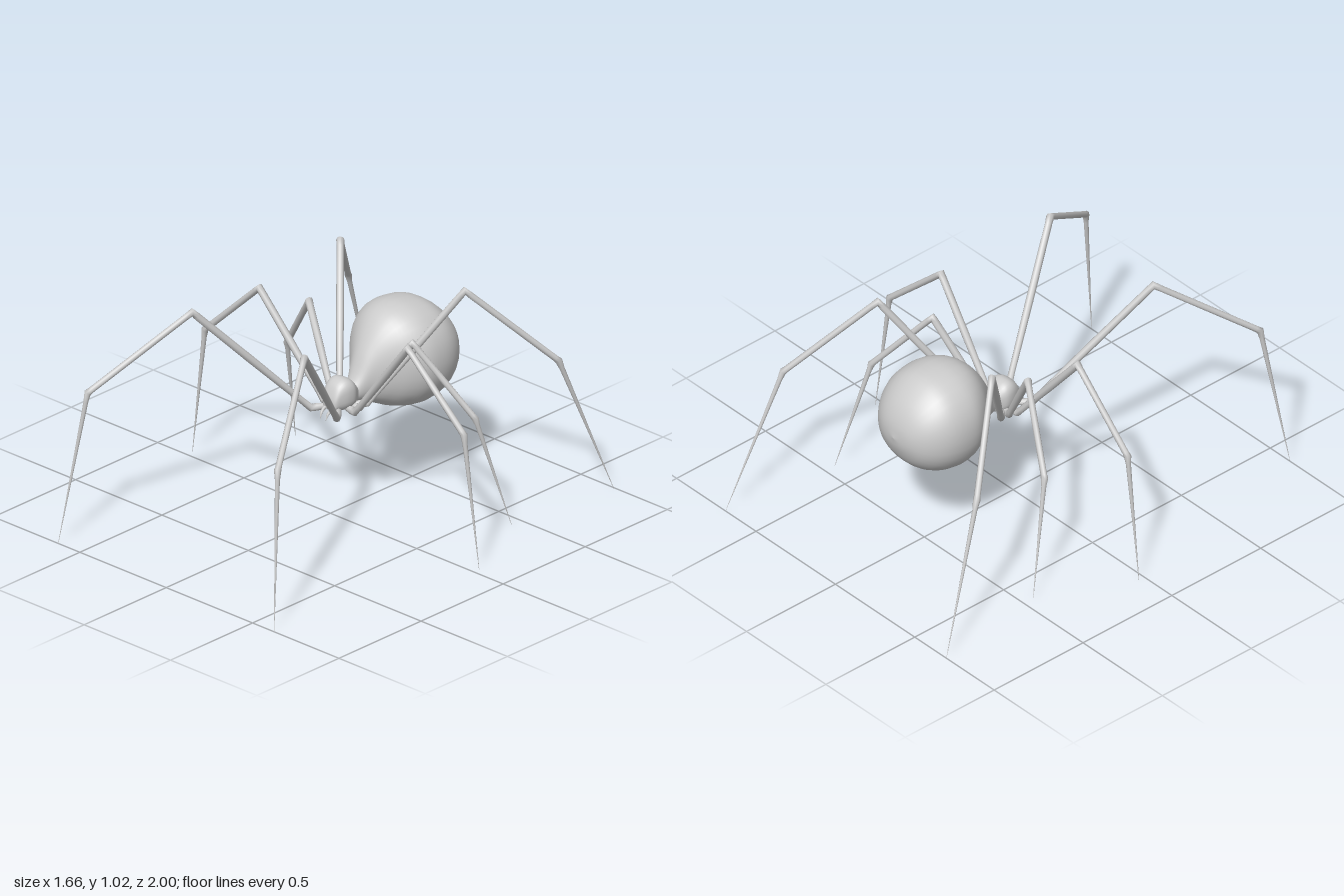
import * as THREE from 'three';
import { mergeVertices } from 'three/addons/utils/BufferGeometryUtils.js';

const material = new THREE.MeshStandardMaterial({ color: 0xcccccc });
const V = (x, y, z) => new THREE.Vector3(x, y, z);

// Skins a list of rings (equal-length arrays of points) and caps both ends.
function skin(rings) {
  const n = rings[0].length, pos = [], idx = [];
  for (const ring of rings) for (const p of ring) pos.push(p.x, p.y, p.z);
  for (let i = 0; i < rings.length - 1; i++) {
    for (let j = 0; j < n; j++) {
      const a = i * n + j, b = i * n + (j + 1) % n;
      idx.push(a, b, a + n, b, b + n, a + n);
    }
  }
  [0, rings.length - 1].forEach((r, end) => {
    const c = V(0, 0, 0);
    rings[r].forEach(p => c.addScaledVector(p, 1 / n));
    const ci = pos.length / 3;
    pos.push(c.x, c.y, c.z);
    for (let j = 0; j < n; j++) {
      const a = r * n + j, b = r * n + (j + 1) % n;
      if (end) idx.push(a, b, ci); else idx.push(b, a, ci);
    }
  });
  let g = new THREE.BufferGeometry();
  g.setAttribute('position', new THREE.Float32BufferAttribute(pos, 3));
  g.setIndex(idx);
  g = mergeVertices(g, 1e-5);
  g.computeVertexNormals();
  return g;
}

// Smooth body from [z, bottom y, top y, half width] stations, front to back.
function body(name, stations, steps, power = 1) {
  const mid = new THREE.CatmullRomCurve3(stations.map(s => V(s[3], (s[1] + s[2]) / 2, s[0])));
  const high = new THREE.CatmullRomCurve3(stations.map(s => V(0, (s[2] - s[1]) / 2, s[0])));
  const rings = [];
  for (let i = 0; i <= steps; i++) {
    const m = mid.getPoint(i / steps), h = high.getPoint(i / steps).y, ring = [];
    for (let j = 0; j < 32; j++) {
      const a = -j / 32 * Math.PI * 2, c = Math.cos(a), s = Math.sin(a);
      ring.push(V(Math.sign(c) * Math.abs(c) ** power * m.x,
        m.y + Math.sign(s) * Math.abs(s) ** power * h, m.z));
    }
    rings.push(ring);
  }
  const mesh = new THREE.Mesh(skin(rings), material);
  mesh.name = name;
  return mesh;
}

// Tapered limb swept along [point, radius] stations lying in one upright plane.
function limb(name, stations, sides = 8) {
  const pts = stations.map(s => s[0]), last = pts.length - 1;
  const across = pts[last].clone().sub(pts[0]).setY(0).normalize().cross(V(0, 1, 0));
  const rings = stations.map(([p, r], i) => {
    const before = p.clone().sub(pts[Math.max(i - 1, 0)]).normalize();
    const after = pts[Math.min(i + 1, last)].clone().sub(p).normalize();
    const up = across.clone().cross(before.add(after).normalize()).normalize();
    return Array.from({ length: sides }, (_, j) => {
      const a = j / sides * Math.PI * 2;
      return p.clone().addScaledVector(across, -Math.cos(a) * r).addScaledVector(up, Math.sin(a) * r);
    });
  });
  const mesh = new THREE.Mesh(skin(rings), material);
  mesh.name = name;
  return mesh;
}

// Leg joints on the left side: body socket, hip, knee, ankle, tip
const LEGS = {
  frontLeg: [[0.03, 0.485, -0.02], [0.075, 0.48, 0.04], [0.325, 1.0, 0.5], [0.55, 0.69, 0.9], [0.625, 0, 1.0]],
  secondLeg: [[0.03, 0.485, -0.06], [0.09, 0.48, -0.055], [0.43, 0.9, -0.02], [0.75, 0.6, -0.025], [0.83, 0, -0.033]],
  thirdLeg: [[0.03, 0.485, -0.08], [0.08, 0.485, -0.095], [0.3, 0.825, -0.185], [0.545, 0.51, -0.31], [0.625, 0, -0.445]],
  rearLeg: [[0.03, 0.485, -0.09], [0.08, 0.49, -0.14], [0.36, 1.0, -0.44], [0.61, 0.65, -0.75], [0.695, 0, -0.995]],
};

function leg(name, joints, side) {
  const [socket, hip, knee, ankle, tip] = joints.map(([x, y, z]) => V(x * side, y, z));
  return limb(name, [
    [socket, 0.012], [socket.clone().lerp(hip, 0.7), 0.017], [hip, 0.017],
    [hip.clone().lerp(knee, 0.08), 0.014], [hip.clone().lerp(knee, 0.5), 0.017],
    [knee.clone().lerp(hip, 0.04), 0.016], [knee, 0.018],
    [knee.clone().lerp(ankle, 0.06), 0.014], [knee.clone().lerp(ankle, 0.5), 0.014],
    [ankle.clone().lerp(knee, 0.04), 0.014], [ankle, 0.016],
    [ankle.clone().lerp(tip, 0.06), 0.011], [tip, 0.0008],
  ]);
}

export function createModel() {
  const model = new THREE.Group();
  model.name = 'spider';

  // Bulbous abdomen narrowing to a waist at the front
  model.add(body('abdomen', [
    [-0.1, 0.485, 0.53, 0.03], [-0.14, 0.475, 0.58, 0.042], [-0.19, 0.46, 0.685, 0.07],
    [-0.25, 0.432, 0.775, 0.127], [-0.31, 0.404, 0.828, 0.182], [-0.38, 0.385, 0.85, 0.222],
    [-0.45, 0.38, 0.85, 0.23], [-0.52, 0.394, 0.835, 0.22], [-0.58, 0.424, 0.795, 0.192],
    [-0.63, 0.473, 0.74, 0.146], [-0.662, 0.54, 0.675, 0.085], [-0.675, 0.6, 0.605, 0.004],
  ], 44, 0.93));

  // Small head and thorax
  model.add(body('thorax', [
    [0.014, 0.5, 0.515, 0.02], [0.008, 0.483, 0.545, 0.037], [-0.015, 0.475, 0.59, 0.05],
    [-0.05, 0.47, 0.613, 0.063], [-0.085, 0.47, 0.607, 0.064], [-0.115, 0.475, 0.58, 0.048],
    [-0.14, 0.485, 0.55, 0.034],
  ], 24, 0.75));

  for (const side of [1, -1]) {
    const word = side > 0 ? 'left' : 'right';
    for (const [name, joints] of Object.entries(LEGS)) {
      model.add(leg(`${word} ${name}`, joints, side));
    }
    // Fangs curving down under the face
    model.add(limb(`${word} fang`, [
      [V(side * 0.02, 0.495, -0.01), 0.009], [V(side * 0.02, 0.488, 0.02), 0.008],
      [V(side * 0.018, 0.475, 0.036), 0.006], [V(side * 0.016, 0.45, 0.044), 0.001],
    ], 6));
  }
  return model;
}
